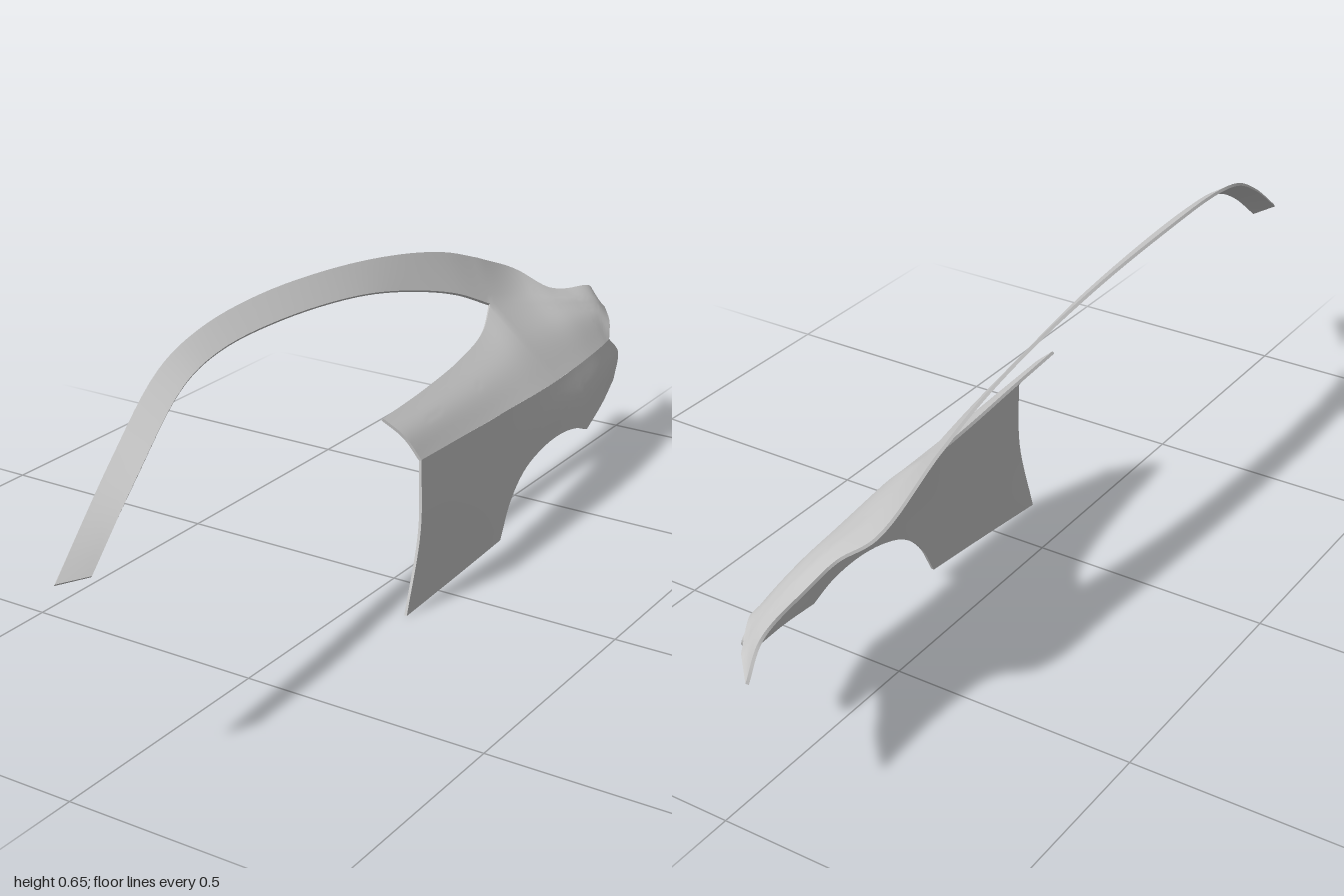
import * as THREE from 'three';
import { mergeGeometries, mergeVertices, toCreasedNormals } from 'three/addons/utils/BufferGeometryUtils.js';

const spline = (pts) => new THREE.CatmullRomCurve3(pts, false, 'centripetal');

// Smooth patch through sections; each section runs from the inner/upper edge outward/down.
function loft(sections, nu, nv) {
  const columns = sections[0].map((_, k) => spline(sections.map((s) => new THREE.Vector3(...s[k]))));
  const pos = [], index = [];
  for (let i = 0; i <= nu; i++) {
    const across = spline(columns.map((c) => c.getPoint(i / nu)));
    for (let j = 0; j <= nv; j++) pos.push(...across.getPoint(j / nv).toArray());
  }
  for (let i = 0; i < nu; i++) {
    for (let j = 0; j < nv; j++) {
      const a = i * (nv + 1) + j, c = a + nv + 1;
      index.push(a, a + 1, c, a + 1, c + 1, c);
    }
  }
  const g = new THREE.BufferGeometry();
  g.setAttribute('position', new THREE.Float32BufferAttribute(pos, 3));
  g.setIndex(index);
  return g;
}

// Weld patches and give the sheet a thickness, closing every open edge with a rim.
function shell(patches, t) {
  const g = mergeVertices(mergeGeometries(patches), 1e-4);
  g.computeVertexNormals();
  const p = g.attributes.position, n = g.attributes.normal, idx = Array.from(g.index.array);
  const count = p.count, pos = Array.from(p.array), out = [...idx], edges = new Set();
  for (let i = 0; i < count * 3; i++) pos.push(p.array[i] - n.array[i] * t);
  for (let i = 0; i < idx.length; i += 3) {
    const [a, b, c] = idx.slice(i, i + 3);
    out.push(a + count, c + count, b + count);
    for (const e of [[a, b], [b, c], [c, a]]) edges.add(e.join());
  }
  for (const e of edges) {
    const [a, b] = e.split(',').map(Number);
    if (!edges.has(`${b},${a}`)) out.push(a, a + count, b, b, a + count, b + count);
  }
  const s = new THREE.BufferGeometry();
  s.setAttribute('position', new THREE.Float32BufferAttribute(pos, 3));
  s.setIndex(out);
  return toCreasedNormals(s, 0.7);
}

export function createModel() {
  const group = new THREE.Group();
  const material = new THREE.MeshStandardMaterial({ color: 0xcccccc, side: THREE.DoubleSide });
  const add = (name, patches) => {
    const mesh = new THREE.Mesh(shell(patches, 0.006), material);
    mesh.name = name;
    group.add(mesh);
  };

  // Roof rail: outer edge, window edge
  const rail = [
    [[0, 0.4, 1], [0.025, 0.397, 0.94]],
    [[-0.053, 0.527, 0.79], [-0.008, 0.502, 0.78]],
    [[-0.1, 0.618, 0.6], [-0.055, 0.592, 0.59]],
    [[-0.118, 0.648, 0.46], [-0.073, 0.616, 0.46]],
    [[-0.13, 0.656, 0.26], [-0.08, 0.617, 0.26]],
    [[-0.13, 0.641, 0], [-0.079, 0.592, 0]],
    [[-0.126, 0.609, -0.23], [-0.073, 0.554, -0.18]],
    [[-0.123, 0.57, -0.4], [-0.058, 0.506, -0.34]],
    [[-0.121, 0.525, -0.53], [-0.04, 0.458, -0.445]],
  ];
  // Shoulder: window sill, middle, crease
  const shoulder = [
    [[0.045, 0.397, 0.11], [0.083, 0.363, 0.093], [0.113, 0.316, 0.08]],
    [[0.03, 0.399, -0.07], [0.077, 0.361, -0.07], [0.113, 0.312, -0.08]],
    [[0.01, 0.406, -0.24], [0.068, 0.361, -0.24], [0.112, 0.308, -0.24]],
    [[-0.013, 0.424, -0.37], [0.055, 0.37, -0.37], [0.112, 0.305, -0.385]],
    [[-0.04, 0.458, -0.445], [0.04, 0.385, -0.45], [0.108, 0.303, -0.48]],
  ];
  // Tail: left edge, two inner lines, crease
  const tail = [
    [rail[8][0], ...shoulder[4]],
    [[-0.118, 0.452, -0.705], [-0.042, 0.423, -0.61], [0.035, 0.372, -0.59], [0.099, 0.3, -0.59]],
    [[-0.066, 0.412, -0.745], [-0.02, 0.397, -0.71], [0.035, 0.362, -0.69], [0.088, 0.298, -0.69]],
    [[-0.055, 0.391, -0.81], [-0.012, 0.377, -0.79], [0.034, 0.348, -0.77], [0.078, 0.296, -0.76]],
    [[-0.056, 0.363, -0.94], [-0.011, 0.349, -0.89], [0.034, 0.332, -0.83], [0.073, 0.295, -0.785]],
    [[-0.072, 0.319, -1], [-0.013, 0.318, -0.94], [0.045, 0.316, -0.85], [0.07, 0.295, -0.8]],
  ];
  add('roofRailAndShoulder', [
    loft(rail, 48, 6),
    loft(shoulder, 32, 12),
    loft(tail.map((s) => s.slice(0, 2)), 40, 6),
    loft(tail.map((s) => s.slice(1)), 40, 12),
  ]);

  // Side panel: crease, middle, lower edge (sill, wheel arch, rear corner)
  const side = [
    [[0.113, 0.316, 0.08], [0.117, 0.17, 0.088], [0.112, 0.003, 0.13]],
    [[0.113, 0.312, -0.08], [0.117, 0.17, -0.05], [0.118, 0.018, -0.05]],
    [[0.113, 0.309, -0.19], [0.118, 0.17, -0.19], [0.122, 0.032, -0.22]],
    [[0.112, 0.308, -0.24], [0.118, 0.21, -0.25], [0.122, 0.105, -0.26]],
    [[0.112, 0.307, -0.31], [0.119, 0.235, -0.315], [0.123, 0.155, -0.315]],
    [[0.112, 0.305, -0.385], [0.12, 0.245, -0.385], [0.125, 0.18, -0.385]],
    [[0.109, 0.303, -0.46], [0.121, 0.25, -0.46], [0.127, 0.188, -0.46]],
    [[0.104, 0.301, -0.53], [0.121, 0.242, -0.53], [0.129, 0.18, -0.53]],
    [[0.099, 0.3, -0.585], [0.12, 0.235, -0.585], [0.13, 0.16, -0.585]],
    [[0.088, 0.298, -0.69], [0.104, 0.245, -0.7], [0.113, 0.183, -0.69]],
    [[0.07, 0.295, -0.8], [0.072, 0.25, -0.845], [0.09, 0.205, -0.79]],
  ];
  add('sidePanel', [
    loft(side.slice(0, 3), 14, 16),
    loft(side.slice(2, 9), 36, 16),
    loft(side.slice(8), 16, 16),
  ]);
  return group;
}
